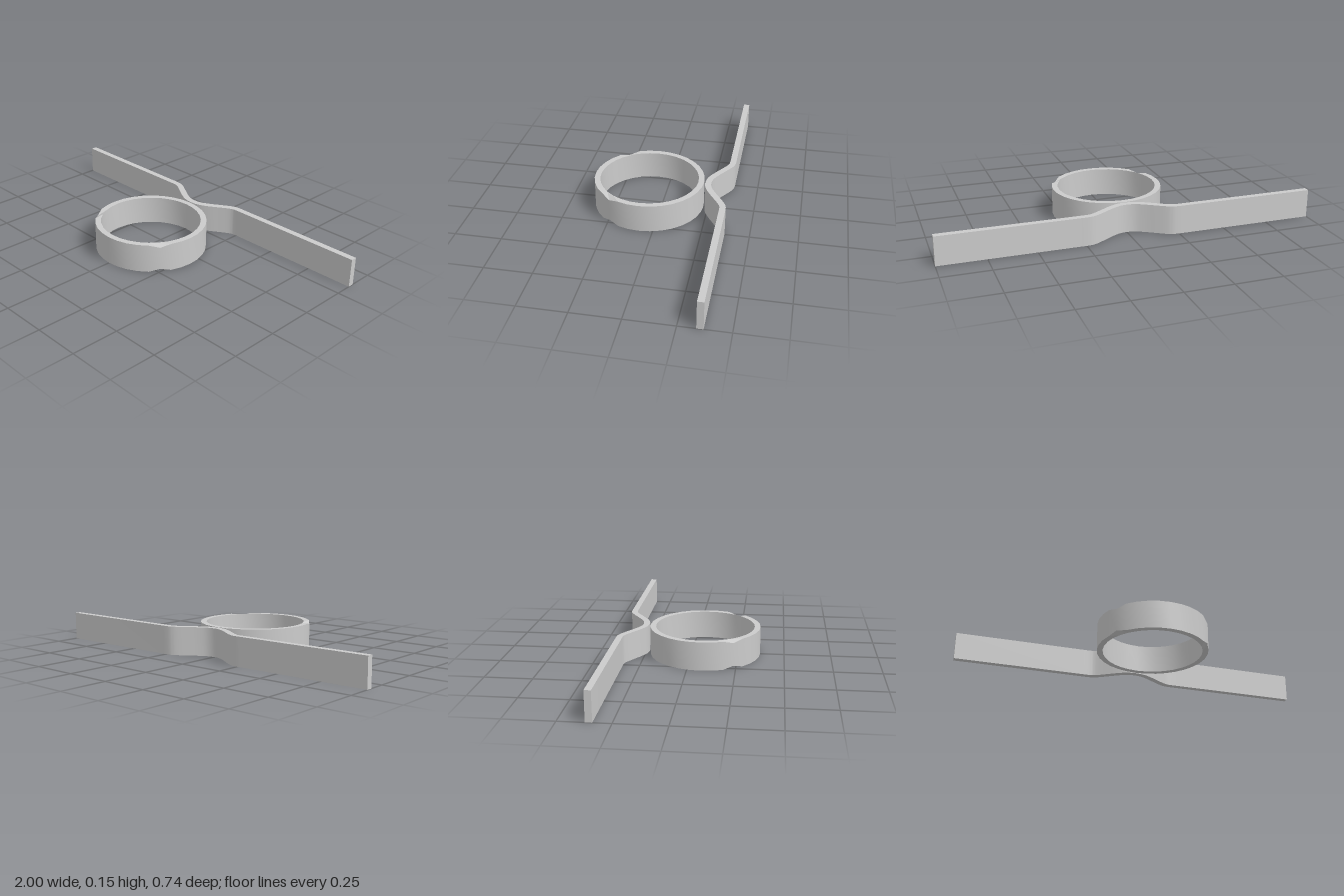
import * as THREE from 'three';
import { toCreasedNormals } from 'three/addons/utils/BufferGeometryUtils.js';

const HEIGHT = 0.152;
const material = new THREE.MeshStandardMaterial({ color: 0xcccccc });

// Closed ring with a shallow V nick in the outer rim on each front quarter
function createRing() {
  const outer = 0.298, inner = 0.267, nickDepth = 0.0145, sides = 32;
  const profile = [[inner, 0], [outer, 0], [outer, HEIGHT], [inner, HEIGHT], [inner, 0]]
    .map(([r, y]) => new THREE.Vector2(r, y));
  const geometry = new THREE.LatheGeometry(profile, sides);
  const nickAngle = (5 / sides) * Math.PI * 2;
  const pos = geometry.attributes.position;
  for (let i = 0; i < pos.count; i++) {
    const x = pos.getX(i), y = pos.getY(i), z = pos.getZ(i);
    const atNick = Math.abs(Math.abs(Math.atan2(x, z)) - nickAngle) < 0.01;
    if (atNick && Math.hypot(x, z) > (outer + inner) / 2) {
      pos.setY(i, y > HEIGHT / 2 ? y - nickDepth : y + nickDepth);
    }
  }
  const ring = new THREE.Mesh(toCreasedNormals(geometry, 0.4), material);
  ring.name = 'ring';
  ring.position.z = 0.072;
  return ring;
}

// Flat strap that dips forward in the middle to meet the ring
function createStrap() {
  const half = 0.0165, back = -0.3545;
  const right = [[0, -0.2485], [0.048, -0.256], [0.098, -0.281], [0.15, -0.314],
    [0.2, -0.344], [0.222, -0.352], [0.25, back], [0.28, back]];
  const left = right.slice(1).reverse().map(([x, z]) => [-x, z]);
  const bend = new THREE.CatmullRomCurve3(
    [...left, ...right].map(([x, z]) => new THREE.Vector3(x, z, 0)));

  // Offset the centre line to both sides to get the outline
  const front = [new THREE.Vector2(-1, back + half)];
  const rear = [new THREE.Vector2(-1, back - half)];
  const steps = 48;
  for (let i = 0; i <= steps; i++) {
    const p = bend.getPoint(i / steps);
    const t = bend.getTangent(i / steps);
    front.push(new THREE.Vector2(p.x - t.y * half, p.y + t.x * half));
    rear.push(new THREE.Vector2(p.x + t.y * half, p.y - t.x * half));
  }
  front.push(new THREE.Vector2(1, back + half));
  rear.push(new THREE.Vector2(1, back - half));

  const shape = new THREE.Shape([...rear, ...front.reverse()]);
  const geometry = new THREE.ExtrudeGeometry(shape, { depth: HEIGHT, bevelEnabled: false });
  geometry.rotateX(Math.PI / 2);
  geometry.translate(0, HEIGHT, 0);
  const strap = new THREE.Mesh(toCreasedNormals(geometry, 0.5), material);
  strap.name = 'strap';
  return strap;
}

export function createModel() {
  const model = new THREE.Group();
  model.name = 'ringWithStrap';
  model.add(createRing(), createStrap());
  return model;
}
